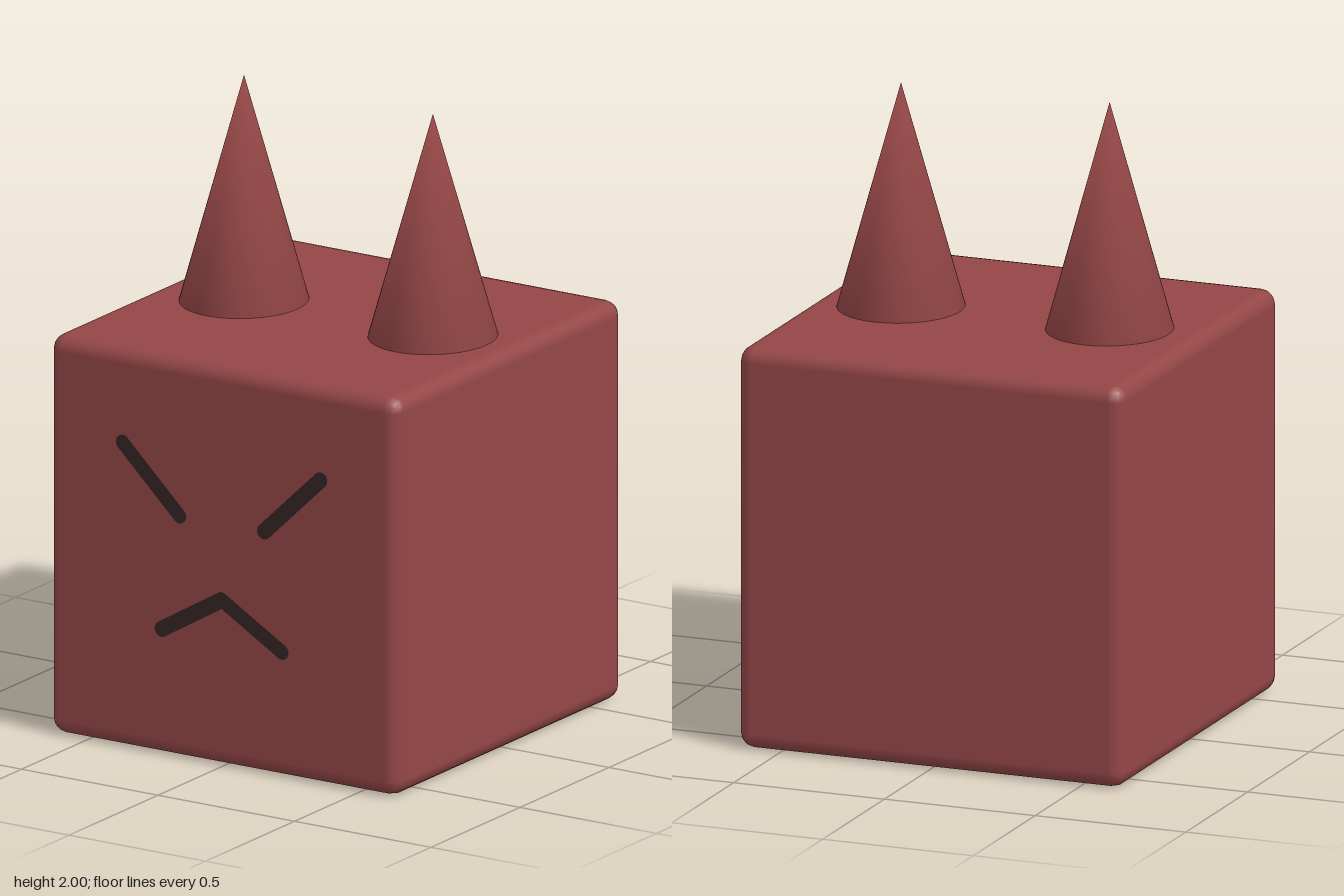
import * as THREE from 'three';
import { mergeVertices } from 'three/addons/utils/BufferGeometryUtils.js';
import { RoundedBoxGeometry } from 'three/addons/geometries/RoundedBoxGeometry.js';

const SIZE = 1.28;

// Cone whose apex and rim share vertices, so shading flows over the tip
function softCone(radius, height) {
  const cone = new THREE.ConeGeometry(radius, height, 48);
  cone.deleteAttribute('uv');
  cone.deleteAttribute('normal');
  const geometry = mergeVertices(cone, 1e-4);
  geometry.computeVertexNormals();
  return geometry;
}

// Flat round-ended stroke between two points on the front face
function stroke([x1, y1], [x2, y2], width, material, name) {
  const r = width / 2;
  const half = Math.hypot(x2 - x1, y2 - y1) / 2;
  const shape = new THREE.Shape();
  shape.absarc(half, 0, r, -Math.PI / 2, Math.PI / 2);
  shape.absarc(-half, 0, r, Math.PI / 2, Math.PI * 1.5);
  shape.closePath();
  const mesh = new THREE.Mesh(new THREE.ShapeGeometry(shape, 8), material);
  mesh.position.set((x1 + x2) / 2, (y1 + y2) / 2, SIZE / 2 + 0.003);
  mesh.rotation.z = Math.atan2(y2 - y1, x2 - x1);
  mesh.name = name;
  return mesh;
}

export function createModel() {
  const model = new THREE.Group();
  model.name = 'hornedCube';
  const red = new THREE.MeshStandardMaterial({ color: 0x944646 });
  red.name = 'dusty red';
  const dark = new THREE.MeshStandardMaterial({ color: 0x362525 });
  dark.name = 'dark brown';

  // Body: cube with softened edges
  const body = new THREE.Mesh(new RoundedBoxGeometry(SIZE, SIZE, SIZE, 2, 0.05), red);
  body.position.y = SIZE / 2;
  body.name = 'body';
  model.add(body);

  // Horns, slightly deeper than wide
  for (const [name, x, tip] of [['rightHorn', -0.337, 2], ['leftHorn', 0.355, 1.99]]) {
    const bottom = 1.275;
    const horn = new THREE.Mesh(softCone(0.197, tip - bottom), red);
    horn.scale.z = 1.08;
    horn.position.set(x, (tip + bottom) / 2, 0);
    horn.name = name;
    model.add(horn);
  }

  // Slanted eyes and downturned mouth
  const face = new THREE.Group();
  face.name = 'face';
  for (const [side, s] of [['left', 1], ['right', -1]]) {
    face.add(stroke([s * 0.155, 0.78], [s * 0.362, 0.98], 0.05, dark, side + 'Eye'));
    face.add(stroke([0, 0.535], [s * 0.22, 0.405], 0.05, dark, side + 'Mouth'));
  }
  model.add(face);
  return model;
}
